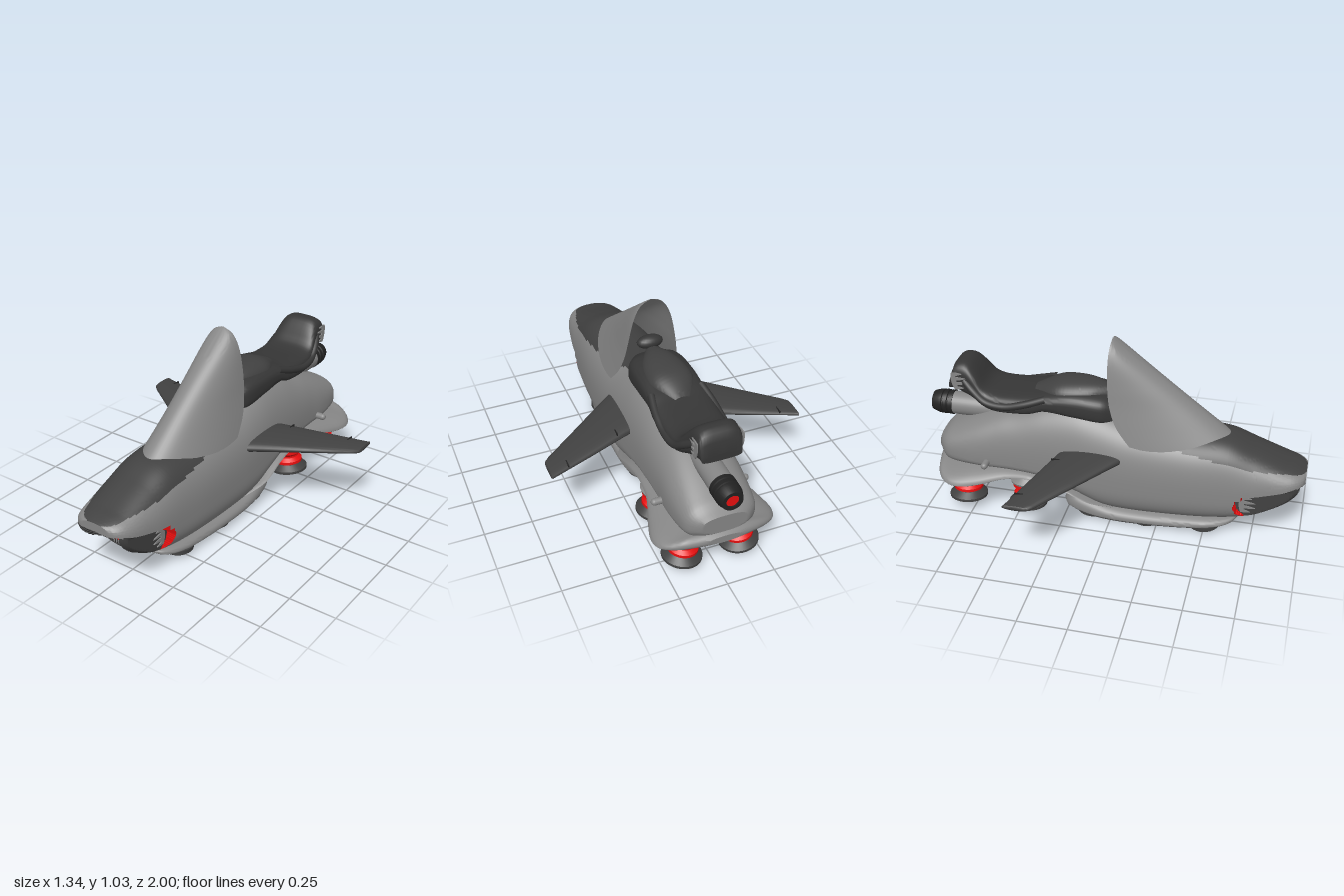
import * as THREE from 'three';
import { toCreasedNormals } from 'three/addons/utils/BufferGeometryUtils.js';

const mat = (name, color, side = THREE.FrontSide) => {
  const m = new THREE.MeshStandardMaterial({ color, side });
  m.name = name;
  return m;
};

// Smooth interpolation through table rows whose first column is the key
function sample(table, k) {
  const s = Math.sign(table[1][0] - table[0][0]);
  let i = 0;
  while (i < table.length - 2 && (k - table[i + 1][0]) * s > 0) i++;
  const a = table[i], b = table[i + 1], h = b[0] - a[0];
  const t = THREE.MathUtils.clamp((k - a[0]) / h, 0, 1);
  const p = table[Math.max(i - 1, 0)], q = table[Math.min(i + 2, table.length - 1)];
  return a.map((v, c) => {
    const m0 = (b[c] - p[c]) / (b[0] - p[0]) * h, m1 = (q[c] - a[c]) / (q[0] - a[0]) * h;
    const t2 = t * t, t3 = t2 * t;
    return (2 * t3 - 3 * t2 + 1) * v + (t3 - 2 * t2 + t) * m0 + (3 * t2 - 2 * t3) * b[c] + (t3 - t2) * m1;
  });
}

// Skin a list of rings; classify sorts each quad into a material group
function skin(rings, { closed = true, classify = () => 0, crease = 0.7 } = {}) {
  const n = rings[0].length, groups = [[], [], []];
  for (let i = 0; i < rings.length - 1; i++)
    for (let j = 0; j < (closed ? n : n - 1); j++) {
      const k = (j + 1) % n;
      const a = i * n + j, b = a + n, c = (i + 1) * n + k, d = i * n + k;
      const quad = [rings[i][j], rings[i + 1][j], rings[i + 1][k], rings[i][k]];
      groups[classify(quad)].push(a, b, d, b, c, d);
    }
  const g = new THREE.BufferGeometry().setFromPoints(rings.flat());
  g.setIndex(groups.flat());
  let start = 0;
  groups.forEach((list, m) => {
    if (list.length) g.addGroup(start, list.length, m);
    start += list.length;
  });
  return toCreasedNormals(g, crease);
}

// Rounded section rings along z. Table rows: z, top, bottom, half width, height of widest point
function sections(table, { n = 2.6, zs, seg = 48, cap = 4 }) {
  const ring = (z, s) => {
    const [, top, bottom, w, mid] = sample(table, z);
    return Array.from({ length: seg }, (_, j) => {
      const t = j / seg * Math.PI * 2, c = Math.cos(t), v = Math.sin(t);
      const pw = u => Math.sign(u) * Math.abs(u) ** (2 / n);
      return new THREE.Vector3(s * w * pw(c), mid + s * (v > 0 ? top - mid : mid - bottom) * pw(v), z);
    });
  };
  if (!zs) zs = Array.from({ length: 61 }, (_, i) => THREE.MathUtils.lerp(table[0][0], table.at(-1)[0], i / 60));
  const caps = Array.from({ length: cap }, (_, i) => i / cap);
  return [...caps.map(s => ring(zs[0], s)), ...zs.map(z => ring(z, 1)),
    ...caps.reverse().map(s => ring(zs.at(-1), s))];
}

// Point-in-polygon on the side plane (z, y)
const inside = (poly, z, y) => poly.reduce((hit, [z1, y1], i) => {
  const [z2, y2] = poly[(i + 1) % poly.length];
  return (y1 > y) !== (y2 > y) && z < (z2 - z1) * (y - y1) / (y2 - y1) + z1 ? !hit : hit;
}, false);

export function createModel() {
  const root = new THREE.Group();
  const gray = mat('hull gray', 0x868686), shell = mat('windshield gray', 0x868686, THREE.DoubleSide);
  const dark = mat('dark trim', 0x414141), seatMat = mat('seat dark', 0x363636);
  const black = mat('black', 0x222222), red = mat('red', 0xf01010);
  const add = (name, geo, m, parent = root) => {
    const mesh = new THREE.Mesh(geo, m);
    mesh.name = name;
    parent.add(mesh);
    return mesh;
  };

  // Hull with dark hood, cut-back cheeks and hollow mouth
  const hull = [
    [1, .41, .335, .085, .37], [.985, .417, .31, .115, .365], [.95, .43, .265, .145, .35],
    [.9, .446, .22, .165, .33], [.8, .485, .158, .184, .3], [.74, .508, .132, .193, .285],
    [.6, .56, .1, .205, .27], [.4, .572, .08, .218, .27], [.1, .605, .072, .225, .27],
    [-.05, .645, .09, .224, .275], [-.18, .67, .16, .22, .285], [-.35, .65, .235, .213, .31],
    [-.5, .605, .25, .208, .32], [-.6, .578, .25, .205, .32], [-.72, .53, .25, .204, .32],
    [-.85, .468, .25, .19, .33], [-.9, .44, .26, .17, .34], [-.94, .4, .3, .12, .35]];
  const cheek = [[1.05, .375], [.85, .328], [.72, .292], [.665, .265], [.653, .235], [.67, .19],
    [.72, .15], [.76, .12], [.8, 0], [1.05, 0]];
  const hoodLine = [[1, .408], [.9, .425], [.7, .45], [.4, .505], [.27, .522], [.04, .6], [-.1, .652], [-.4, .68]];
  const zs = [];
  for (let i = 0; i < 100; i++) zs.push(1 - .4 * i / 100);
  for (let i = 0; i <= 90; i++) zs.push(.6 - 1.54 * i / 90);
  const rings = sections(hull, { zs, seg: 112, cap: 10 });
  for (const p of rings.flat()) {
    p.cut = inside(cheek, p.z, p.y);
    if (!p.cut) continue;
    if (Math.abs(p.x) < .122 && p.y < .36 && p.z > .8) p.z = .8;
    else p.x = THREE.MathUtils.clamp(p.x, -.148, .148);
  }
  const hullGeo = skin(rings, {
    classify: q => {
      const cuts = q.filter(p => p.cut).length;
      if (cuts === 4) return 1;
      if (cuts) return q[0].z < .82 ? 2 : 1;
      const z = (q[0].z + q[2].z) / 2, y = (q[0].y + q[2].y) / 2;
      return z > -.4 && y > sample(hoodLine, z)[1] ? 1 : 0;
    },
  });
  add('hull', hullGeo, [gray, dark, red]);

  // Mouth grille
  add('grillePanel', new THREE.BoxGeometry(.145, .16, .006), black).position.set(0, .255, .802);
  for (let i = -4; i <= 4; i++)
    add('grilleBar', new THREE.CylinderGeometry(.004, .004, .15, 8), gray).position.set(i * .0145, .255, .808);

  // Windshield built from horizontal half-oval slices: y, edge half width, edge z
  const shield = [[.5, .183, .12], [.6, .163, .04], [.7, .143, .0], [.8, .126, -.015], [.9, .106, -.02],
    [.96, .086, -.02], [1, .062, -.018], [1.02, .035, -.016], [1.03, .006, -.015]];
  const slices = Array.from({ length: 41 }, (_, i) => {
    const y = .5 + .53 * i / 40, [, w, zEdge] = sample(shield, y), ridge = .6 - .613 * (y - .56) / .47;
    return Array.from({ length: 33 }, (_, j) => {
      const t = (j / 32 - .5) * Math.PI;
      return new THREE.Vector3(-w * Math.sin(t), y, zEdge + (ridge - zEdge) * Math.cos(t));
    });
  });
  add('windshield', skin(slices, { closed: false }), shell);

  // Seat, tank and dash
  add('seat', skin(sections([
    [.02, .7, .58, .1, .62], [-.05, .73, .58, .14, .64], [-.2, .74, .6, .15, .66], [-.35, .72, .62, .15, .66],
    [-.42, .705, .6, .155, .64], [-.52, .695, .59, .155, .63], [-.62, .695, .585, .15, .64],
    [-.68, .72, .6, .14, .66], [-.73, .79, .625, .125, .7], [-.77, .828, .64, .115, .73],
    [-.82, .83, .66, .11, .74], [-.845, .81, .67, .108, .74], [-.87, .72, .68, .1, .7]], { n: 3.4 })), seatMat);
  add('tank', skin(sections([[0, .75, .65, .03, .7], [-.1, .775, .65, .09, .7], [-.2, .78, .65, .115, .7],
    [-.3, .768, .65, .11, .7], [-.42, .715, .65, .05, .68]], { n: 2.2 })), dark);
  const dash = add('dash', new THREE.SphereGeometry(1, 20, 12), seatMat);
  dash.scale.set(.07, .035, .04);
  dash.position.set(0, .765, .01);

  // Rear fender and belly sled
  add('rearFender', skin(sections([
    [.02, .12, .1, .17, .11], [-.1, .17, .14, .222, .155], [-.25, .245, .215, .226, .22], [-.42, .3, .25, .228, .258],
    [-.55, .31, .235, .24, .25], [-.7, .305, .2, .29, .22], [-.8, .295, .195, .312, .215],
    [-.87, .29, .2, .29, .225], [-.92, .3, .215, .22, .245], [-.95, .28, .24, .1, .26]], { n: 2 })), gray);
  const sled = [[.68, .105, .085, .05, .09], [.64, .1, .062, .11, .075], [.55, .1, .045, .152, .06],
    [.4, .1, .033, .172, .05], [.15, .1, .026, .185, .045], [0, .11, .028, .186, .048], [-.12, .15, .04, .18, .062],
    [-.2, .165, .06, .165, .08], [-.235, .13, .07, .14, .08], [-.26, .088, .075, .09, .08]];
  add('bellySled', skin(sections(sled, { n: 2.8 })), gray);
  add('sledUnderside', skin(sections(sled.map(([z, , b, w]) =>
    [z * .96, b + .012, b - .008, w * .93, b + .006]), { n: 4 })), dark);

  // Exhaust
  const exhaust = new THREE.Group();
  exhaust.name = 'exhaust';
  exhaust.position.set(0, .54, -.6);
  exhaust.rotation.x = -Math.PI / 2;
  root.add(exhaust);
  const lathe = (pts, seg = 32) => toCreasedNormals(
    new THREE.LatheGeometry(pts.map(p => new THREE.Vector2(...p)), seg), .6);
  add('exhaustPipe', lathe([[0, -.05], [.05, -.05], [.062, .05], [.062, .3]]), gray, exhaust);
  add('exhaustNozzle', lathe([[.05, .285], [.066, .285], [.066, .305], [.06, .308], [.06, .314], [.066, .317],
    [.066, .335], [.06, .338], [.06, .344], [.066, .347], [.064, .365], [.052, .4], [.033, .4], [.033, .385], [0, .385]]),
    black, exhaust);
  add('exhaustGlow', new THREE.CylinderGeometry(.032, .032, .008, 20), red, exhaust).position.y = .39;

  // Claw mark decal in the side plane, fingers toward the front
  const claw = new THREE.Shape();
  claw.moveTo(0, -.05);
  for (let i = 0; i < 4; i++) {
    const y = -.05 + i * .027, len = [.05, .075, .075, .055][i];
    claw.quadraticCurveTo(len * .5, y - .004, len, y + .004);
    claw.quadraticCurveTo(len * .5, y + .014, .018, y + .014);
    claw.lineTo(i < 3 ? .018 : 0, i < 3 ? y + .025 : y + .016);
  }
  claw.quadraticCurveTo(-.02, 0, 0, -.05);
  const clawGeo = new THREE.ExtrudeGeometry(claw, { depth: .006, bevelEnabled: false });
  clawGeo.rotateY(-Math.PI / 2);

  // Wing skin from root to tip: x, leading z, trailing z, height, thickness
  const wingRings = [[.15, .12, -.235, .432, .076], [.24, .05, -.265, .43, .068], [.45, -.11, -.337, .415, .048],
    [.64, -.255, -.4, .403, .032], [.665, -.28, -.41, .402, .026], [.67, -.3, -.4, .402, .01], [.67, -.35, -.352, .402, 0]]
    .map(([x, z0, z1, y, th]) => Array.from({ length: 32 }, (_, j) => {
      const t = j / 32 * Math.PI * 2, s = Math.sin(t);
      return new THREE.Vector3(x, y + th / 2 * Math.sign(s) * Math.abs(s) ** .8, (z0 + z1) / 2 + (z0 - z1) / 2 * Math.cos(t));
    }));
  const wingGeo = skin(wingRings);
  const bolster = new THREE.CatmullRomCurve3([[.13, .7, -.34], [.147, .665, -.45], [.15, .64, -.56], [.142, .65, -.66],
    [.125, .7, -.73], [.1, .74, -.78]].map(p => new THREE.Vector3(...p)));

  for (const side of [1, -1]) {
    const half = new THREE.Group();
    half.name = side > 0 ? 'leftSide' : 'rightSide';
    half.scale.x = side;
    root.add(half);
    add('wing', wingGeo, dark, half);
    // Flap gaps
    for (const [x, z, y, len] of [[.283, -.235, .448, .07], [.572, -.348, .42, .055]])
      add('flapGap', new THREE.BoxGeometry(.006, .009, len), black, half).position.set(x, y, z);
    const seam = add('flapSeam', new THREE.BoxGeometry(.3, .006, .005), black, half);
    seam.position.set(.428, .432, -.262);
    seam.rotation.set(0, .37, -.085);
    // Foot peg
    const peg = add('footPeg', new THREE.CapsuleGeometry(.018, .07, 6, 16), gray, half);
    peg.rotation.z = Math.PI / 2;
    peg.position.set(.205, .318, -.655);
    add('seatBolster', new THREE.TubeGeometry(bolster, 32, .02, 10), seatMat, half);
    add('cheekClaw', clawGeo, gray, half).position.set(.153, .235, .69);
    const seatClaw = add('seatClaw', clawGeo, gray, half);
    seatClaw.position.set(.117, .74, -.838);
    seatClaw.rotation.x = -.15;
    // Sprung feet
    for (const z of [-.45, -.79]) {
      const foot = new THREE.Group();
      foot.name = 'springFoot';
      foot.position.set(.135, .2, z);
      foot.rotation.z = .12;
      half.add(foot);
      add('mount', lathe([[0, -.01], [.09, -.01], [.095, .002], [.075, .02], [.06, .07], [0, .07]]), gray, foot);
      add('bellows', lathe([[.06, -.105], [.077, -.095], [.077, -.08], [.058, -.062], [.058, -.052], [.082, -.032],
        [.082, -.015], [.07, -.005]]), red, foot);
      add('footPad', lathe([[0, -.146], [.094, -.146], [.102, -.142], [.102, -.128], [.07, -.1], [0, -.1]]), dark, foot);
      add('footGlow', new THREE.CylinderGeometry(.08, .08, .006, 28), red, foot).position.y = -.147;
    }
    // Sled lift pads
    for (const [z, y, tilt] of [[.5, .03, .06], [.19, .016, 0], [-.11, .03, -.1]]) {
      const pad = new THREE.Group();
      pad.name = 'liftPad';
      pad.position.set(.085, y, z);
      pad.rotation.x = -tilt;
      half.add(pad);
      add('padRim', lathe([[0, -.01], [.07, -.01], [.082, 0], [.082, .02], [0, .02]]), dark, pad);
      add('padGlow', new THREE.CylinderGeometry(.064, .064, .006, 28), red, pad).position.y = -.011;
    }
  }
  return root;
}
